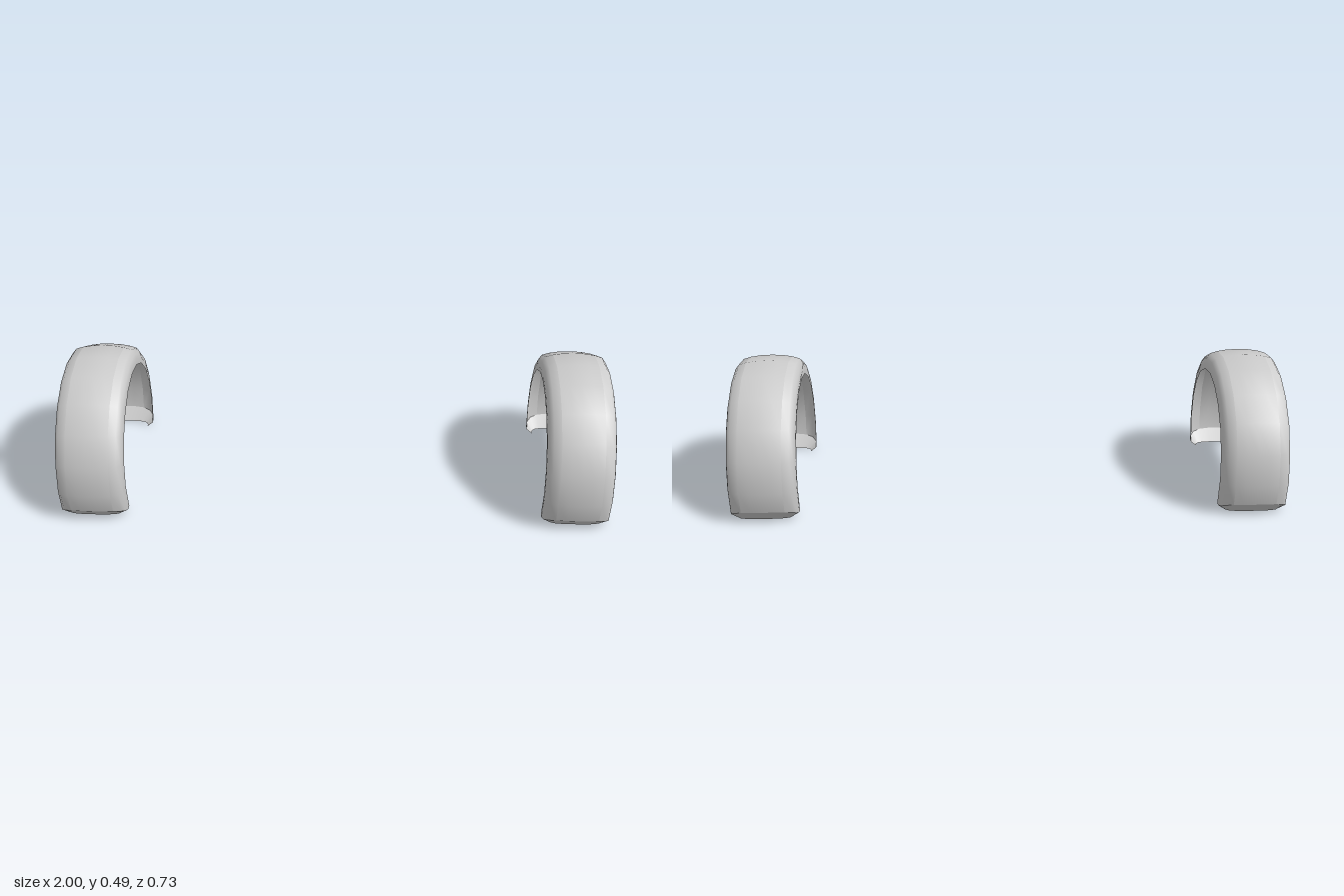
import * as THREE from 'three';

const AXLE_Y = 0.122;
const STEPS = 10; // arch segments over the half circle

// Half cross-section from crown to lip:
// [x, arch radius, foot z, foot y, end x, end z]
const HALF = [
  [0, 0.367, 0.351, 0.045, 0, 0.31],
  [0.04, 0.3655, 0.35, 0.045, 0.037, 0.31],
  [0.077, 0.36, 0.345, 0.043, 0.07, 0.307],
  [0.104, 0.352, 0.335, 0.036, 0.088, 0.302],
  [0.117, 0.335, 0.318, 0.026, 0.096, 0.294],
  [0.122, 0.315, 0.297, 0.018, 0.1, 0.283],
  [0.122, 0.295, 0.277, 0.016, 0.1, 0.272],
];
const mirrored = HALF.slice(1).reverse().map(([x, r, fz, fy, ex, ez]) => [-x, r, fz, fy, -ex, ez]);
const PROFILE = [...mirrored, ...HALF];

const material = new THREE.MeshStandardMaterial({ color: 0xcccccc, side: THREE.DoubleSide });

// Smooth surface through rows of points
function skin(rows, name) {
  const cols = rows[0].length;
  const index = [];
  for (let i = 0; i < rows.length - 1; i++) {
    for (let j = 0; j < cols - 1; j++) {
      const a = i * cols + j, b = a + cols;
      index.push(a, a + 1, b, a + 1, b + 1, b);
    }
  }
  const geometry = new THREE.BufferGeometry();
  geometry.setAttribute('position', new THREE.Float32BufferAttribute(rows.flat(2), 3));
  geometry.setIndex(index);
  geometry.computeVertexNormals();
  const mesh = new THREE.Mesh(geometry, material);
  mesh.name = name;
  return mesh;
}

const footRow = (points, side) => points.map(([, , z, y], k) => [points[k][0], y, side * z]);
const endRow = (points, side) => points.map((p) => [p[4], 0, side * p[5]]);

// Rows of the arch from the front foot over the top to the rear foot
function archRows(points) {
  const rows = [footRow(points, 1)];
  for (let i = 0; i <= STEPS; i++) {
    const a = (i / STEPS) * Math.PI;
    rows.push(points.map(([x, r]) => [x, AXLE_Y + r * Math.sin(a), r * Math.cos(a)]));
  }
  rows.push(footRow(points, -1));
  return rows;
}

// Flat web closing the arch, cut straight along the bottom
function innerPanel() {
  const shape = new THREE.Shape();
  const r = 0.363;
  shape.moveTo(-0.358, 0.087);
  for (let i = 0; i <= STEPS; i++) {
    const a = Math.PI * (1 - i / STEPS);
    shape.lineTo(r * Math.cos(a), AXLE_Y + r * Math.sin(a));
  }
  shape.lineTo(0.358, 0.087);
  shape.closePath();
  const mesh = new THREE.Mesh(new THREE.ShapeGeometry(shape).rotateY(Math.PI / 2), material);
  mesh.name = 'innerPanel';
  return mesh;
}

function fender(side) {
  const group = new THREE.Group();
  group.name = side > 0 ? 'leftFender' : 'rightFender';
  // Separate strips keep the shoulder edges crisp
  group.add(
    skin(archRows(PROFILE.slice(0, 5)), 'sideWallRight'),
    skin(archRows(PROFILE.slice(4, 9)), 'crown'),
    skin(archRows(PROFILE.slice(8)), 'sideWallLeft'),
    // Feet curl under to the ground
    skin([endRow(PROFILE, 1), footRow(PROFILE, 1)], 'frontFoot'),
    skin([footRow(PROFILE, -1), endRow(PROFILE, -1)], 'rearFoot'),
  );
  const panel = innerPanel();
  panel.position.x = side * 0.042;
  group.add(panel);
  group.position.x = side * 0.878;
  return group;
}

export function createModel() {
  const model = new THREE.Group();
  model.name = 'fenderPair';
  model.add(fender(1), fender(-1));
  return model;
}
